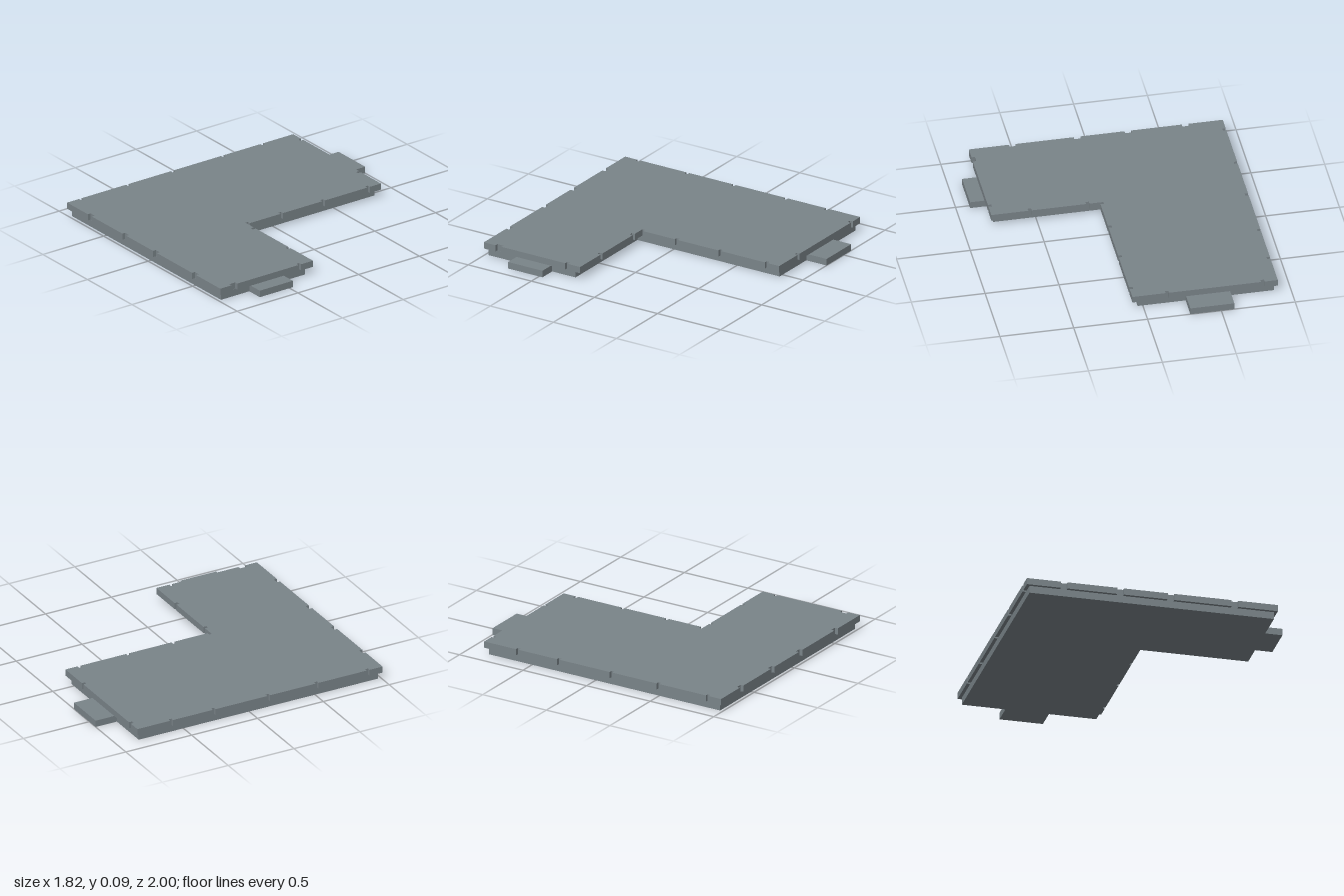
import * as THREE from 'three';

const NOTCH_DEPTH = 0.023;
const BASE_TOP = 0.05;
const SLAB_TOP = 0.095;

// Each side of the L outline: start corner [x, z], inward direction, and the
// notches as [from, to] along the side, in walking order.
const SIDES = [
  { corner: [-0.91, 1], inward: [0, -1], notches: [[-0.677, -0.632], [-0.29, -0.245], [0.055, 0.1], [0.493, 0.538]] },
  { corner: [0.81, 1], inward: [-1, 0], notches: [[0.908, 0.86], [0.355, 0.334]] },
  { corner: [0.81, 0.237], inward: [0, 1], notches: [[0.56, 0.537], [0.168, 0.145]] },
  { corner: [0.075, 0.237], inward: [-1, 0], notches: [[0.237, 0.217], [-0.035, -0.057], [-0.38, -0.402], [-0.748, -0.771]] },
  { corner: [0.075, -0.862], inward: [0, 1], notches: [[-0.15, -0.172], [-0.796, -0.82]] },
  { corner: [-0.91, -0.862], inward: [1, 0], notches: [[-0.613, -0.591], [-0.29, -0.268], [0.124, 0.146], [0.493, 0.515], [0.88, 0.902]] },
];

// Outline of the upper slab with its notches cut in
function slabOutline() {
  const points = [];
  const add = (x, z) => {
    const last = points[points.length - 1];
    if (!last || Math.hypot(last[0] - x, last[1] - z) > 1e-5) points.push([x, z]);
  };
  for (const { corner: [cx, cz], inward: [ix, iz], notches } of SIDES) {
    add(cx, cz);
    const at = (t, depth) => (ix === 0 ? add(t, cz + iz * depth) : add(cx + ix * depth, t));
    for (const [from, to] of notches) {
      at(from, 0);
      at(from, NOTCH_DEPTH);
      at(to, NOTCH_DEPTH);
      at(to, 0);
    }
  }
  return points;
}

// Horizontal plate from a counter-clockwise [x, z] outline
function plate(name, outline, bottom, top, material) {
  const shape = new THREE.Shape(outline.map(([x, z]) => new THREE.Vector2(x, -z)));
  const geometry = new THREE.ExtrudeGeometry(shape, { depth: top - bottom, bevelEnabled: false });
  geometry.rotateX(-Math.PI / 2);
  geometry.translate(0, bottom, 0);
  const mesh = new THREE.Mesh(geometry, material);
  mesh.name = name;
  return mesh;
}

const rectangle = (x0, x1, z0, z1) => [[x0, z1], [x1, z1], [x1, z0], [x0, z0]];

export function createModel() {
  const group = new THREE.Group();
  group.name = 'floorTile';
  const stone = new THREE.MeshStandardMaterial({ color: 0x7a8489 });
  stone.name = 'slate grey';

  // Upper slab with notched rim
  group.add(plate('notchedSlab', slabOutline(), BASE_TOP, SLAB_TOP, stone));

  // Inset base below it
  const base = [[-0.887, 0.978], [0.788, 0.978], [0.788, 0.288], [0.035, 0.288], [0.035, -0.839], [-0.887, -0.839]];
  group.add(plate('base', base, 0, BASE_TOP, stone));

  // Joining tabs, each butting against the base
  group.add(plate('backTab', rectangle(-0.588, -0.29, -1, -0.839), 0, 0.047, stone));
  group.add(plate('sideTab', rectangle(0.788, 0.906, 0.473, 0.745), 0, 0.047, stone));

  return group;
}
